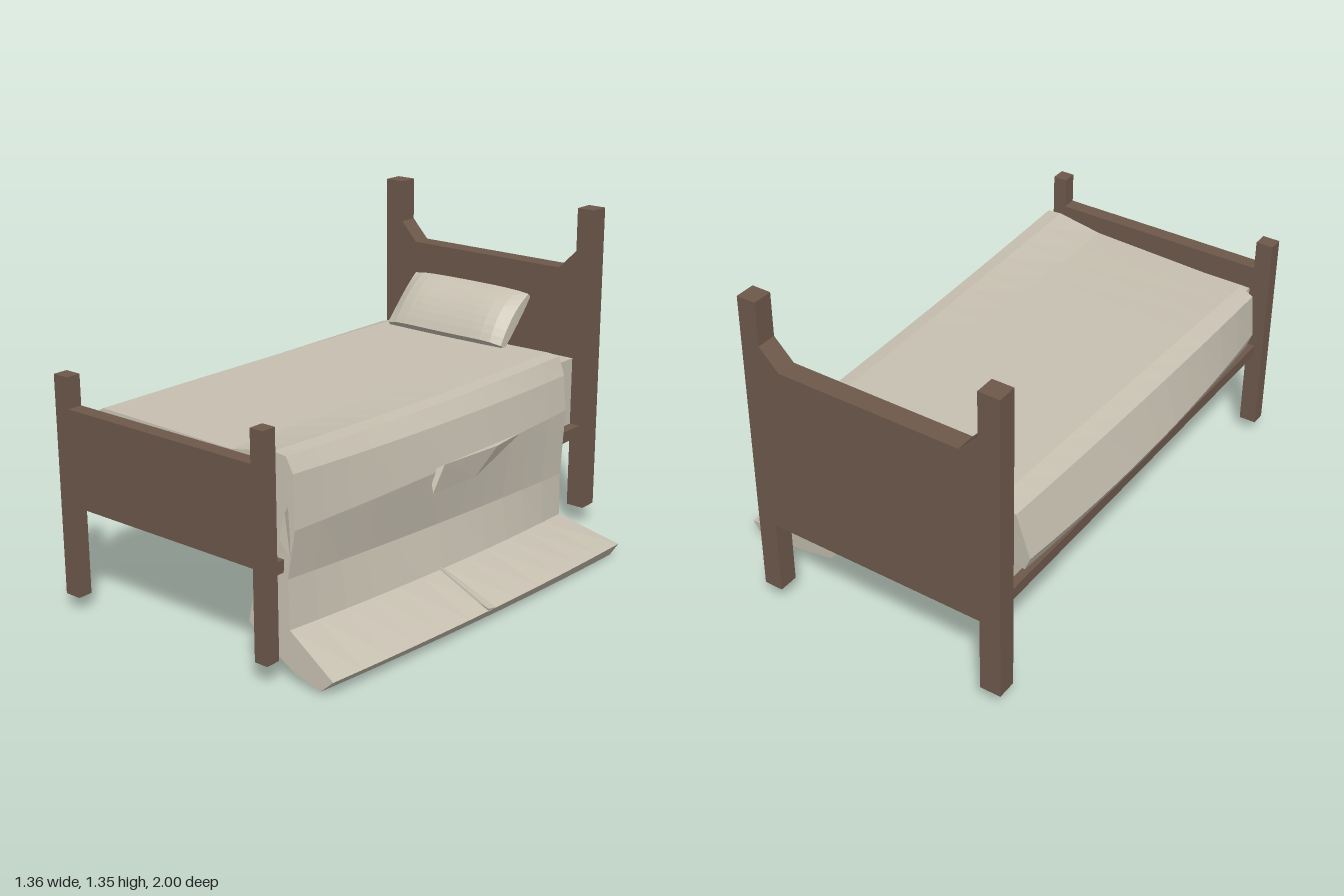
import * as THREE from 'three';
import { ConvexGeometry } from 'three/addons/geometries/ConvexGeometry.js';

const wood = new THREE.MeshStandardMaterial({ color: 0x6d594b });
const linen = new THREE.MeshStandardMaterial({ color: 0xc7c0b1 });
wood.name = 'brownWood';
linen.name = 'creamLinen';
linen.flatShading = true;

function addMesh(group, name, geometry, material) {
  const mesh = new THREE.Mesh(geometry, material);
  mesh.name = name;
  group.add(mesh);
  return mesh;
}

// Box given by its lower and upper corners
function addBox(group, name, material, [x0, y0, z0], [x1, y1, z1]) {
  const mesh = addMesh(group, name, new THREE.BoxGeometry(x1 - x0, y1 - y0, z1 - z0), material);
  mesh.position.set((x0 + x1) / 2, (y0 + y1) / 2, (z0 + z1) / 2);
}

// Flat board cut from an outline in x and y, from z0 to z1
function addBoard(group, name, outline, z0, z1) {
  const shape = new THREE.Shape(outline.map(([x, y]) => new THREE.Vector2(x, y)));
  const geometry = new THREE.ExtrudeGeometry(shape, { depth: z1 - z0, bevelEnabled: false });
  addMesh(group, name, geometry.translate(0, 0, z0), wood);
}

// Faceted lump of cloth around a few points
function addFold(group, name, points) {
  addMesh(group, name, new ConvexGeometry(points.map(p => new THREE.Vector3(...p))), linen);
}

// Blanket cross-sections, clockwise from the top: outer drape, then inside
const blanketBack = [
  [-0.53, 0.765], [0.10, 0.768], [0.28, 0.77], [0.335, 0.765], [0.365, 0.69], [0.385, 0.55],
  [0.38, 0.28], [0.39, 0.11], [0.68, 0.055], [0.645, 0], [0.45, 0.02], [0.29, 0.05],
  [0.29, 0.20], [0.32, 0.40], [0.31, 0.70], [-0.585, 0.70], [-0.60, 0.51], [-0.635, 0.50],
  [-0.66, 0.56], [-0.61, 0.74]];
const blanketMiddle = [
  [-0.555, 0.768], [0.10, 0.772], [0.29, 0.778], [0.345, 0.77], [0.39, 0.71], [0.42, 0.55],
  [0.385, 0.32], [0.425, 0.155], [0.66, 0.06], [0.61, 0.005], [0.45, 0.02], [0.27, 0.07],
  [0.24, 0.18], [0.28, 0.40], [0.31, 0.70], [-0.585, 0.70], [-0.60, 0.50], [-0.65, 0.48],
  [-0.682, 0.54], [-0.63, 0.735]];
const blanketFront = [
  [-0.58, 0.765], [0.10, 0.77], [0.29, 0.805], [0.35, 0.80], [0.385, 0.745], [0.40, 0.55],
  [0.375, 0.37], [0.39, 0.19], [0.59, 0.06], [0.535, 0.01], [0.42, 0.04], [0.27, 0.12],
  [0.20, 0.17], [0.24, 0.38], [0.31, 0.70], [-0.585, 0.70], [-0.60, 0.50], [-0.62, 0.48],
  [-0.645, 0.55], [-0.635, 0.735]];

// Blend the three sections along the bed, with slanted ends, and cap them
function blanketGeometry() {
  const n = blanketBack.length, steps = 12;
  const positions = [], index = [];
  for (let k = 0; k <= steps; k++) {
    const t = k / steps;
    const a = (1 - t) * (1 - 2 * t), b = 4 * t * (1 - t), c = t * (2 * t - 1);
    for (let i = 0; i < n; i++) {
      const [x, y] = [0, 1].map(j => a * blanketBack[i][j] + b * blanketMiddle[i][j] + c * blanketFront[i][j]);
      const leftSide = x < 0 ? 0.035 : 0;
      const zBack = -0.73 - 0.07 * y - leftSide;
      const zFront = 0.92 - 0.06 * y - leftSide;
      positions.push(x, y, zBack + (zFront - zBack) * t);
    }
  }
  for (let k = 0; k < steps; k++) {
    for (let i = 0; i < n; i++) {
      const j = (i + 1) % n, p = k * n, q = p + n;
      index.push(p + i, q + i, p + j, q + i, q + j, p + j);
    }
  }
  for (const [section, start, facing] of [[blanketBack, 0, -1], [blanketFront, steps * n, 1]]) {
    const points = section.map(([x, y]) => new THREE.Vector2(x, y));
    for (const [a, b, c] of THREE.ShapeUtils.triangulateShape(points, [])) {
      const keep = THREE.ShapeUtils.area([points[a], points[b], points[c]]) * facing > 0;
      index.push(start + a, start + (keep ? b : c), start + (keep ? c : b));
    }
  }
  const geometry = new THREE.BufferGeometry();
  geometry.setAttribute('position', new THREE.Float32BufferAttribute(positions, 3));
  geometry.setIndex(index);
  geometry.computeVertexNormals();
  return geometry;
}

// Plump box, thinned towards its edges and blunt along its lower side
function pillowGeometry() {
  const geometry = new THREE.BoxGeometry(0.59, 0.27, 0.13, 12, 8, 1);
  const p = geometry.attributes.position;
  for (let i = 0; i < p.count; i++) {
    const u = p.getX(i) / 0.295, v = p.getY(i) / 0.135;
    const edge = v < 0 ? 0.4 : 0.62;
    p.setZ(i, p.getZ(i) * (1 - 0.6 * u ** 6) * (1 - edge * v * v));
    p.setX(i, p.getX(i) * (1 - 0.02 * (1 - v * v)));
    p.setY(i, p.getY(i) * (1 - 0.03 * u * u));
  }
  geometry.computeVertexNormals();
  return geometry;
}

export function createModel() {
  const bed = new THREE.Group();
  bed.name = 'bed';

  // Head and foot boards, each with its posts
  addBoard(bed, 'headboard', [
    [-0.67, 0.08], [-0.585, 0.08], [-0.585, 0.39], [0.31, 0.39], [0.31, 0.08], [0.387, 0.08],
    [0.387, 1.345], [0.31, 1.345], [0.31, 1.17], [0.23, 1.09], [-0.51, 1.09], [-0.585, 1.17],
    [-0.585, 1.345], [-0.67, 1.345]], -1, -0.92);
  addBoard(bed, 'footboard', [
    [-0.655, 0.06], [-0.585, 0.06], [-0.585, 0.435], [-0.43, 0.485], [0.28, 0.485], [0.31, 0.47],
    [0.31, 0.08], [0.367, 0.08], [0.367, 0.925], [0.31, 0.925], [0.31, 0.80], [-0.585, 0.80],
    [-0.585, 0.92], [-0.655, 0.92]], 0.94, 1);

  // Bed base and the rail behind the footboard
  addBox(bed, 'bedBase', wood, [-0.62, 0.39, -0.92], [0.355, 0.437, 0.94]);
  addBox(bed, 'footRail', wood, [-0.585, 0.437, 0.915], [0.31, 0.487, 0.94]);

  // Bedding
  addBox(bed, 'mattress', linen, [-0.585, 0.437, -0.92], [0.31, 0.72, 0.915]);
  addMesh(bed, 'blanket', blanketGeometry(), linen);
  addFold(bed, 'sideFold', [
    [0.40, 0.55, 0.15], [0.445, 0.58, 0.12], [0.44, 0.56, -0.22], [0.425, 0.465, -0.10],
    [0.425, 0.475, 0.16], [0.405, 0.55, -0.42], [0.38, 0.50, 0]]);
  addFold(bed, 'cornerFold', [
    [0.36, 0.63, 0.87], [0.385, 0.62, 0.92], [0.375, 0.53, 0.938], [0.37, 0.49, 0.935],
    [0.39, 0.45, 0.90], [0.35, 0.50, 0.88]]);
  addFold(bed, 'hemFold', [
    [0.40, 0.175, 0.11], [0.66, 0.07, 0.125], [0.66, 0.06, 0.08], [0.42, 0.14, 0.06],
    [0.42, 0.12, 0.12], [0.65, 0.05, 0.12]]);

  // Pillow leaning on the headboard
  const pillow = addMesh(bed, 'pillow', pillowGeometry(), linen);
  pillow.position.set(-0.195, 0.862, -0.812);
  pillow.rotation.x = -0.78;

  return bed;
}
